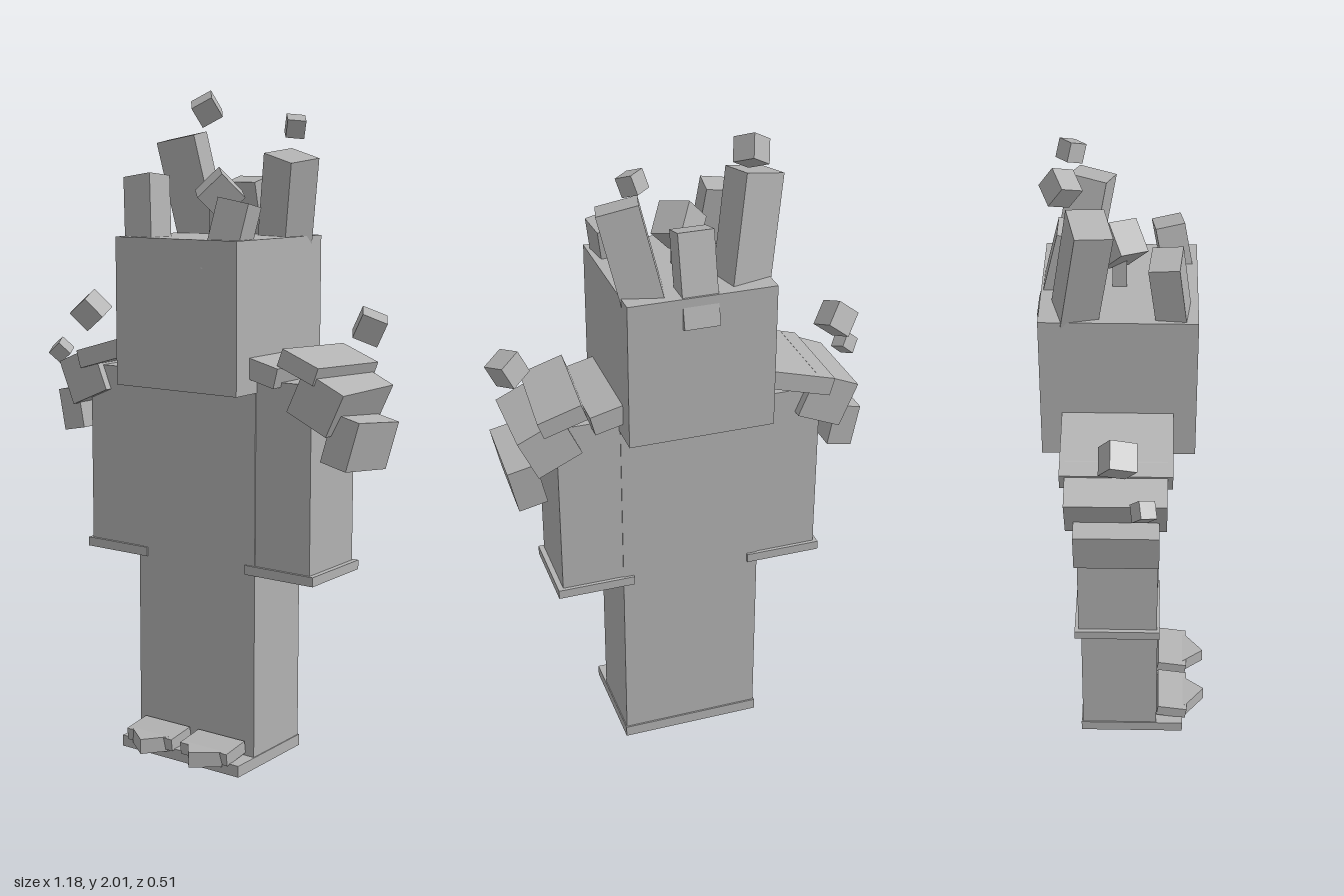
import * as THREE from 'three';

export function createModel() {
  const model = new THREE.Group();
  const gray = new THREE.MeshStandardMaterial({ color: 0xb2b2b2 });
  gray.name = 'plain gray';

  // Box by centre, size and rotation in degrees
  function box(name, size, pos, rot = [0, 0, 0]) {
    const mesh = new THREE.Mesh(new THREE.BoxGeometry(...size), gray);
    mesh.name = name;
    mesh.position.set(...pos);
    mesh.rotation.set(...rot.map(THREE.MathUtils.degToRad));
    model.add(mesh);
    return mesh;
  }

  // Box by its lower and upper corners
  function span(name, lo, hi) {
    return box(name, hi.map((v, i) => v - lo[i]), hi.map((v, i) => (v + lo[i]) / 2));
  }

  // Leaning square spike from base centre to tip centre
  function spike(name, base, tip, width, depth, yaw) {
    const a = new THREE.Vector3(...base), b = new THREE.Vector3(...tip);
    const dir = b.clone().sub(a);
    const mesh = box(name, [width, dir.length() + 0.1, depth], [0, 0, 0]);
    const up = new THREE.Vector3(0, 1, 0);
    mesh.quaternion.setFromUnitVectors(up, dir.clone().normalize())
      .multiply(new THREE.Quaternion().setFromAxisAngle(up, THREE.MathUtils.degToRad(yaw)));
    // sink the foot of the spike into the head
    mesh.position.copy(a).add(b).multiplyScalar(0.5).addScaledVector(dir.normalize(), -0.05);
  }

  // Head and body
  span('head', [-0.205, 1.14, -0.25], [0.232, 1.58, 0.19]);
  span('torso', [-0.203, 0.6, -0.15], [0.229, 1.18, 0.09]);
  span('legs', [-0.203, 0.02, -0.15], [0.229, 0.6, 0.09]);
  span('sole', [-0.207, 0, -0.155], [0.232, 0.035, 0.175]);

  // Arms with cuffs
  span('rightArm', [-0.392, 0.61, -0.147], [-0.2, 1.178, 0.087]);
  span('leftArm', [0.225, 0.61, -0.147], [0.418, 1.178, 0.087]);
  span('rightCuff', [-0.405, 0.597, -0.158], [-0.17, 0.625, 0.095]);
  span('leftCuff', [0.196, 0.597, -0.158], [0.434, 0.625, 0.095]);

  // Toes: a strap and a turned claw on each foot
  for (const [side, x, turn] of [['right', -0.092, -38], ['left', 0.113, 38]]) {
    box(side + 'ToeStrap', [0.172, 0.038, 0.095], [x, 0.056, 0.14], [8, 0, 0]);
    box(side + 'ToeClaw', [0.1, 0.046, 0.09], [x, 0.047, 0.18], [0, turn, 0]);
  }

  // Right shoulder plates
  box('rightShoulderPlate', [0.3, 0.056, 0.315], [-0.268, 1.235, -0.032], [0, 0, 16]);
  box('rightUpperPlate', [0.145, 0.142, 0.285], [-0.408, 1.142, -0.032], [0, 0, 23]);
  box('rightLowerPlate', [0.08, 0.13, 0.24], [-0.474, 1.03, -0.03], [0, 0, 11]);

  // Left shoulder plates
  box('leftShoulderPlate', [0.25, 0.06, 0.315], [0.2, 1.223, -0.032], [0, 0, -14]);
  box('leftTopPlate', [0.135, 0.053, 0.295], [0.396, 1.225, -0.036], [-2, -4, -20]);
  box('leftUpperPlate', [0.145, 0.135, 0.275], [0.442, 1.13, -0.03], [0, 0, -25]);
  box('leftLowerPlate', [0.088, 0.145, 0.225], [0.508, 1.01, -0.032], [-6.5, 0, -13]);

  // Spikes on the head
  spike('backRightSpike', [-0.135, 1.58, -0.15], [-0.183, 1.87, -0.105], 0.125, 0.105, 14);
  spike('backLeftSpike', [0.165, 1.58, -0.155], [0.215, 1.815, -0.11], 0.12, 0.11, -14);
  spike('backSpike', [0.02, 1.58, -0.205], [0.02, 1.745, -0.165], 0.105, 0.075, 0);
  spike('frontRightSpike', [-0.138, 1.58, 0.12], [-0.16, 1.755, 0.098], 0.108, 0.085, -6);
  spike('frontLeftSpike', [0.165, 1.58, 0.125], [0.182, 1.685, 0.105], 0.1, 0.085, 8);

  // Stem with a tilted cube in the middle of the head
  span('stem', [-0.01, 1.55, -0.05], [0.03, 1.69, -0.01]);
  box('centreCube', [0.1, 0.1, 0.1], [0.013, 1.703, -0.033], [15, 40, 35]);

  // Loose floating cubes
  const cubes = [
    [0.08, [-0.487, 1.33, -0.025], [20, 15, 35]],
    [0.05, [-0.552, 1.205, 0.045], [20, 25, 35]],
    [0.075, [0.527, 1.34, -0.045], [15, 30, -30]],
    [0.07, [-0.143, 1.955, -0.18], [25, 35, 15]],
    [0.055, [0.188, 1.9, -0.17], [25, 35, -20]],
  ];
  for (const [s, pos, rot] of cubes) box('floatingCube', [s, s, s], pos, rot);

  return model;
}
